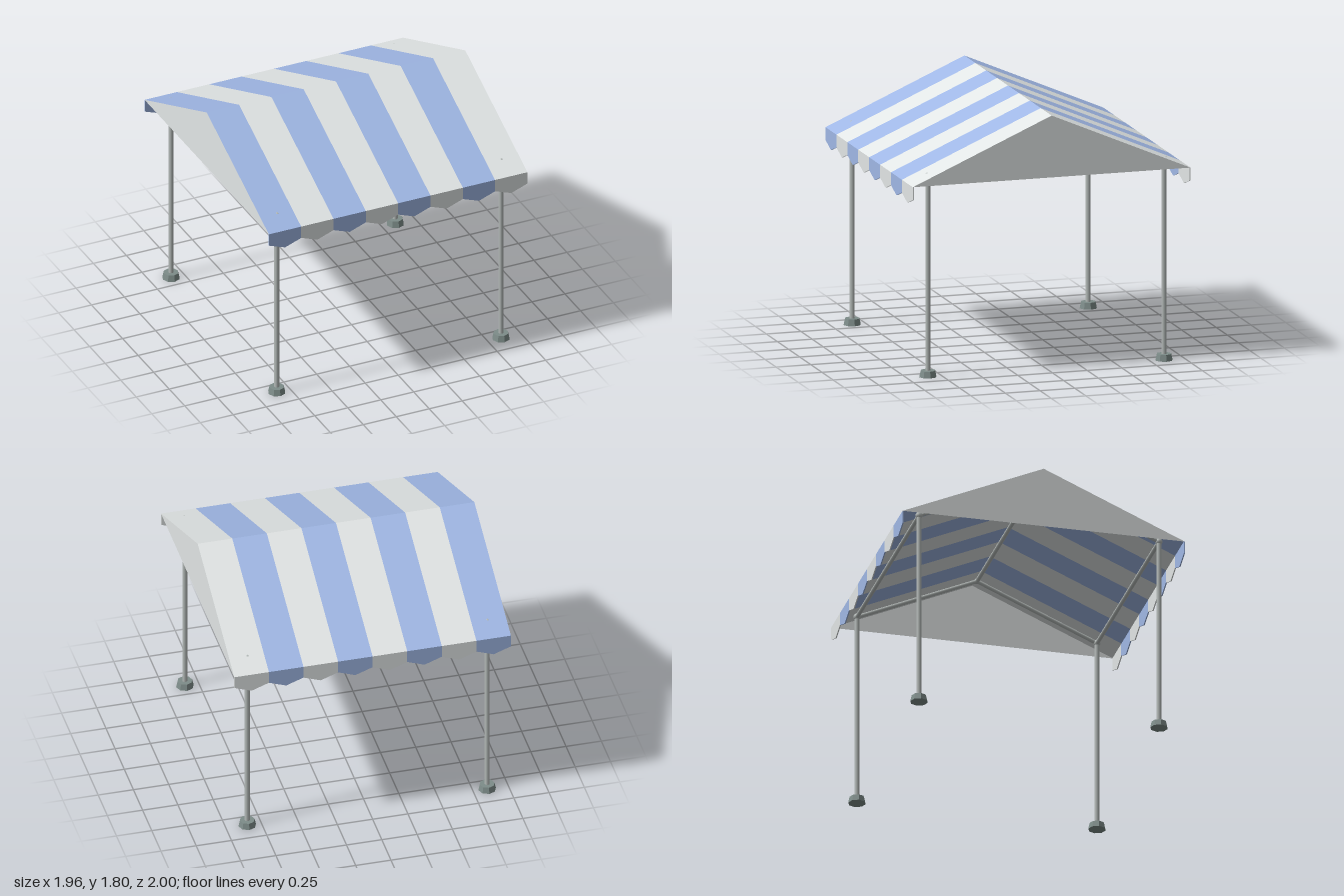
import * as THREE from 'three';

const HALF_W = 0.98, EAVE_Y = 1.37, RIDGE_Y = 1.805, EAVE_Z = 1;
const STRIPES = 8, STRIPE_W = (2 * HALF_W) / STRIPES;
const POST = 0.85, JOINT_Y = 1.41, BEAM_Y = 1.78;

export function createModel() {
  const mat = (name, color, extra = {}) => {
    const m = new THREE.MeshStandardMaterial({ color, ...extra });
    m.name = name;
    return m;
  };
  const blue = mat('blueCanvas', 0xa0b8e6, { side: THREE.DoubleSide });
  const white = mat('whiteCanvas', 0xe2e6e6, { side: THREE.DoubleSide });
  const metal = mat('poleMetal', 0xb4bab8);
  const footMat = mat('footGrey', 0x7d8c89, { flatShading: true });

  const model = new THREE.Group();
  model.name = 'canopyTent';
  const group = (name) => {
    const g = new THREE.Group();
    g.name = name;
    model.add(g);
    return g;
  };
  const add = (parent, name, geometry, material, x = 0, y = 0, z = 0) => {
    const mesh = new THREE.Mesh(geometry, material);
    mesh.name = name;
    mesh.position.set(x, y, z);
    parent.add(mesh);
    return mesh;
  };
  // Flat convex polygon from ordered corners
  const polygon = (corners) => {
    const g = new THREE.BufferGeometry();
    g.setAttribute('position', new THREE.Float32BufferAttribute(corners.flat(), 3));
    const index = [];
    for (let i = 1; i < corners.length - 1; i++) index.push(0, i, i + 1);
    g.setIndex(index);
    g.computeVertexNormals();
    return g;
  };
  // Round pole between two points
  const pole = (parent, name, a, b, r) => {
    const from = new THREE.Vector3(...a), to = new THREE.Vector3(...b);
    const dir = to.clone().sub(from);
    const mesh = add(parent, name, new THREE.CylinderGeometry(r, r, dir.length(), 10), metal);
    mesh.position.copy(from).add(to).multiplyScalar(0.5);
    mesh.quaternion.setFromUnitVectors(new THREE.Vector3(0, 1, 0), dir.normalize());
  };

  // Striped roof slopes and the pointed valance below each eave
  const roof = group('roof'), valance = group('valance');
  const flap = new THREE.Shape([
    [0, EAVE_Y], [0, 1.28], [STRIPE_W / 2, 1.235], [STRIPE_W, 1.28], [STRIPE_W, EAVE_Y],
  ].map(([x, y]) => new THREE.Vector2(x, y)));
  const flapGeo = new THREE.ExtrudeGeometry(flap, { depth: 0.008, bevelEnabled: false });
  for (let i = 0; i < STRIPES; i++) {
    const x0 = -HALF_W + i * STRIPE_W, x1 = x0 + STRIPE_W;
    const cloth = i % 2 ? white : blue;
    add(roof, 'frontRoofStripe', polygon([
      [x0, EAVE_Y, EAVE_Z], [x1, EAVE_Y, EAVE_Z], [x1, RIDGE_Y, 0], [x0, RIDGE_Y, 0],
    ]), cloth);
    add(roof, 'backRoofStripe', polygon([
      [x1, EAVE_Y, -EAVE_Z], [x0, EAVE_Y, -EAVE_Z], [x0, RIDGE_Y, 0], [x1, RIDGE_Y, 0],
    ]), cloth);
    add(valance, 'frontValanceFlap', flapGeo, cloth, x0, 0, EAVE_Z - 0.008);
    add(valance, 'backValanceFlap', flapGeo, cloth, x0, 0, -EAVE_Z);
  }

  // Triangular end walls
  for (const s of [1, -1]) {
    add(roof, 'gable', polygon([
      [s * HALF_W, EAVE_Y, s * EAVE_Z], [s * HALF_W, EAVE_Y, -s * EAVE_Z], [s * HALF_W, RIDGE_Y, 0],
    ]), white);
  }

  // Posts, feet, corner joints and rafters
  const frame = group('frame');
  const footGeo = new THREE.CylinderGeometry(0.052, 0.062, 0.045, 8);
  const jointGeo = new THREE.SphereGeometry(0.025, 10, 8);
  for (const sx of [1, -1]) {
    const x = sx * POST;
    for (const sz of [1, -1]) {
      const z = sz * POST;
      add(frame, 'foot', footGeo, footMat, x, 0.0225, z);
      pole(frame, 'post', [x, 0.02, z], [x, JOINT_Y, z], 0.018);
      add(frame, 'cornerJoint', jointGeo, metal, x, JOINT_Y, z);
      pole(frame, 'rafter', [x, JOINT_Y, z], [x, BEAM_Y, 0], 0.014);
    }
    add(frame, 'ridgeJoint', new THREE.SphereGeometry(0.02, 10, 8), metal, x, BEAM_Y, 0);
  }

  // Beams running along the eaves and the ridge
  for (const [name, y, z] of [
    ['frontBeam', JOINT_Y, POST], ['backBeam', JOINT_Y, -POST], ['ridgeBeam', BEAM_Y, 0],
  ]) pole(frame, name, [-POST, y, z], [POST, y, z], 0.015);

  return model;
}
